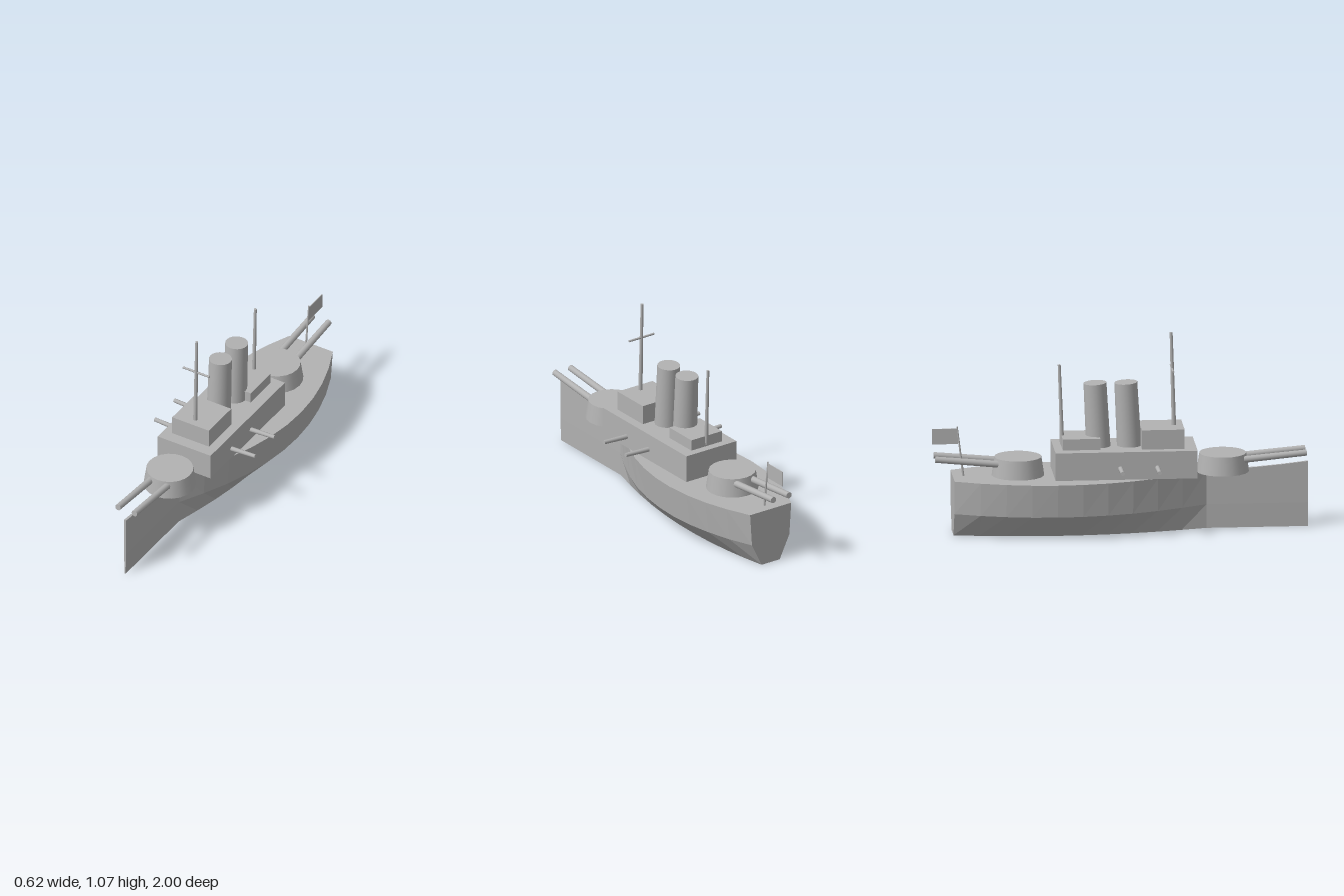
import * as THREE from 'three';

const grey = new THREE.MeshStandardMaterial({ color: 0xb2b2b2 });
grey.name = 'ship grey';

function add(parent, name, geometry) {
  const mesh = new THREE.Mesh(geometry, grey);
  mesh.name = name;
  parent.add(mesh);
  return mesh;
}

// Box given by its half width and its y and z extents
function block(parent, name, halfWidth, y0, y1, z0, z1) {
  add(parent, name, new THREE.BoxGeometry(halfWidth * 2, y1 - y0, z1 - z0))
    .position.set(0, (y0 + y1) / 2, (z0 + z1) / 2);
}

// Tapered round bar running from one point to another
function rod(parent, name, from, to, r0, r1, sides = 12) {
  const a = new THREE.Vector3(...from), b = new THREE.Vector3(...to);
  const dir = b.clone().sub(a);
  const mesh = add(parent, name, new THREE.CylinderGeometry(r1, r0, dir.length(), sides));
  mesh.position.copy(a).add(b).multiplyScalar(0.5);
  mesh.quaternion.setFromUnitVectors(new THREE.Vector3(0, 1, 0), dir.normalize());
  return mesh;
}

// Faceted hull lofted through hard-chined sections, pinching to a blade bow
function hullGeometry() {
  const steps = 14, stern = -0.89, bow = 1;
  const rings = [];
  for (let i = 0; i <= steps; i++) {
    const z = stern + (bow - stern) * i / steps;
    const w = Math.max(0.007, 0.27 * (1 - ((z + 0.33) / 0.79) ** 2));
    const deck = 0.31 + 0.045 * Math.max(0, (z - 0.2) / 0.8) ** 2.2;
    const side = [[0.44 * w, 0], [0.91 * w, 0.13], [w, deck]];
    const ring = side.concat(side.slice().reverse().map(([x, y]) => [-x, y]));
    rings.push(ring.map(([x, y]) => [x, y, z]));
  }
  const pos = [];
  const tri = (a, b, c) => pos.push(...a, ...b, ...c);
  for (let i = 0; i < steps; i++) {
    for (let k = 0; k < 6; k++) {
      const n = (k + 1) % 6;
      const a = rings[i][k], b = rings[i][n], c = rings[i + 1][n], d = rings[i + 1][k];
      // diagonals mirror from side to side
      if (k < 3) { tri(a, b, c); tri(a, c, d); }
      else { tri(a, b, d); tri(b, c, d); }
    }
  }
  // transom and stem
  const first = rings[0], last = rings[steps];
  for (let k = 1; k < 5; k++) {
    tri(first[0], first[k + 1], first[k]);
    tri(last[0], last[k], last[k + 1]);
  }
  const g = new THREE.BufferGeometry();
  g.setAttribute('position', new THREE.Float32BufferAttribute(pos, 3));
  g.computeVertexNormals();
  return g;
}

// Round turret with twin raised barrels, facing along dir
function turret(parent, name, z, dir) {
  const group = new THREE.Group();
  group.name = name;
  group.position.z = z;
  if (dir < 0) group.rotation.y = Math.PI;
  add(group, 'gunhouse', new THREE.CylinderGeometry(0.125, 0.14, 0.1, 20)).position.y = 0.36;
  for (const x of [-0.051, 0.051]) {
    rod(group, 'mainGun', [x, 0.376, 0.06], [x, 0.412, 0.443], 0.019, 0.017);
  }
  parent.add(group);
}

export function createModel() {
  const ship = new THREE.Group();
  ship.name = 'warship';

  add(ship, 'hull', hullGeometry());

  // deckhouses
  block(ship, 'superstructure', 0.164, 0.31, 0.46, -0.355, 0.4);
  block(ship, 'bridge', 0.114, 0.46, 0.565, 0.108, 0.335);
  block(ship, 'aftDeckhouse', 0.1, 0.46, 0.52, -0.312, -0.112);

  // main guns
  turret(ship, 'foreTurret', 0.546, 1);
  turret(ship, 'aftTurret', -0.543, -1);

  // side guns
  for (const side of [-1, 1]) {
    for (const z of [-0.01, 0.187]) {
      rod(ship, 'sideGun', [side * 0.12, 0.369, z], [side * 0.312, 0.378, z], 0.014, 0.011, 10);
    }
  }

  // raked funnels
  for (const z of [0.049, -0.115]) {
    rod(ship, 'funnel', [0, 0.45, z], [0, 0.803, z - 0.018], 0.065, 0.061, 20);
  }

  // masts and yard
  rod(ship, 'foreMast', [0, 0.55, 0.287], [0, 1.07, 0.272], 0.012, 0.008, 10);
  rod(ship, 'yard', [-0.082, 0.872, 0.277], [0.082, 0.872, 0.277], 0.006, 0.006, 8);
  rod(ship, 'aftMast', [0, 0.47, -0.307], [0, 0.905, -0.323], 0.011, 0.008, 10);

  // ensign at the stern
  rod(ship, 'flagpole', [0, 0.3, -0.832], [0, 0.577, -0.866], 0.006, 0.004, 8);
  block(ship, 'flag', 0.002, 0.483, 0.567, -1, -0.862);

  return ship;
}
